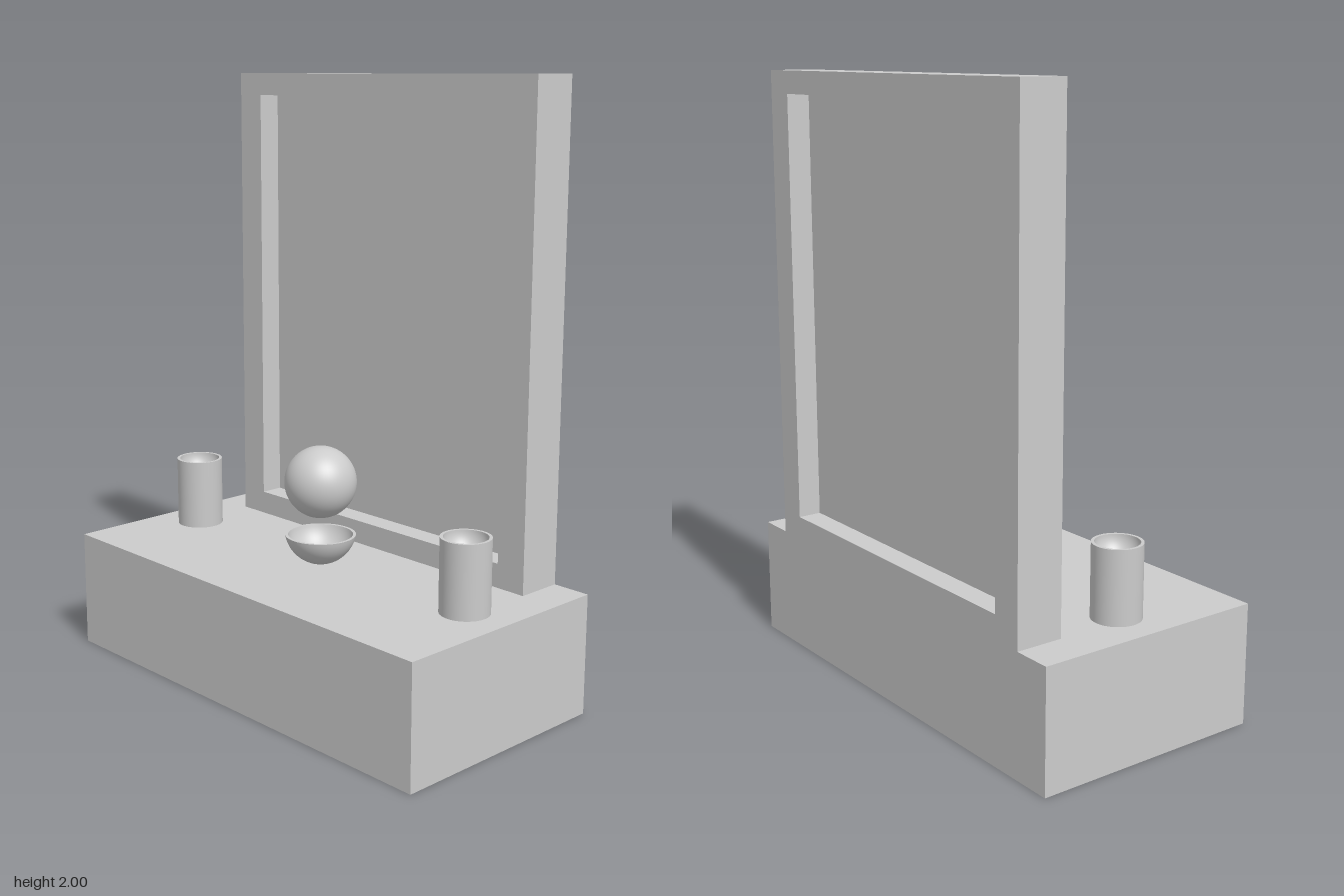
import * as THREE from 'three';

const material = new THREE.MeshStandardMaterial({ color: 0xcccccc, side: THREE.DoubleSide });

function add(parent, name, geometry, x = 0, y = 0, z = 0) {
  const mesh = new THREE.Mesh(geometry, material);
  mesh.name = name;
  mesh.position.set(x, y, z);
  parent.add(mesh);
  return mesh;
}

// Rectangular outline between two corners
function rectangle(Type, x0, y0, x1, y1) {
  return new Type([[x0, y0], [x1, y0], [x1, y1], [x0, y1]].map(([x, y]) => new THREE.Vector2(x, y)));
}

// Points on a circular arc around (0, cy), from angle a to angle b
function arc(r, cy, a, b, n = 20) {
  return Array.from({ length: n + 1 }, (_, i) => {
    const t = a + (b - a) * i / n;
    return new THREE.Vector2(Math.max(0, r * Math.cos(t)), cy + r * Math.sin(t));
  });
}

// Lathe each run of the profile separately so the rims stay sharp
function addLathe(parent, name, runs, x) {
  const part = new THREE.Group();
  part.name = name;
  part.position.set(x, 0.4, 0);
  for (const [runName, points] of Object.entries(runs)) {
    add(part, runName, new THREE.LatheGeometry(points, 48));
  }
  parent.add(part);
}

export function createModel() {
  const model = new THREE.Group();
  model.name = 'pedestalWithPanel';

  // Hollow base: a thin shell without its bottom face
  const shell = new THREE.BoxGeometry(1.6, 0.4, 0.8);
  const index = Array.from(shell.index.array);
  index.splice(18, 6);
  shell.setIndex(index);
  shell.clearGroups();
  add(model, 'base', shell, 0, 0.2, 0);

  // Upright frame with a thin pane halfway through its depth
  const outline = rectangle(THREE.Shape, -0.67, 0.4, 0.67, 2);
  outline.holes.push(rectangle(THREE.Path, -0.565, 0.48, 0.565, 1.925));
  add(model, 'frame', new THREE.ExtrudeGeometry(outline, { depth: 0.16, bevelEnabled: false }), 0, 0, -0.4);
  add(model, 'pane', new THREE.PlaneGeometry(1.13, 1.445), 0, 1.2025, -0.32);

  // Floating ball above its bowl
  add(model, 'ball', new THREE.SphereGeometry(0.12, 48, 32), 0, 0.68, 0);
  const bottom = -Math.PI / 2;
  const outer = arc(0.12, 0.12, bottom, Math.asin(-0.02 / 0.12));
  const inner = arc(0.11, 0.12, Math.asin(-0.02 / 0.11), bottom);
  addLathe(model, 'bowl', {
    bowlOutside: outer,
    bowlRim: [outer[outer.length - 1], inner[0]],
    bowlInside: inner,
  }, 0);

  // Pair of posts with a rounded hollow in the top
  for (const side of [-1, 1]) {
    addLathe(model, side > 0 ? 'leftPost' : 'rightPost', {
      postWall: [new THREE.Vector2(0.08, 0), new THREE.Vector2(0.08, 0.24)],
      postRim: [new THREE.Vector2(0.08, 0.24), new THREE.Vector2(0.07, 0.24)],
      postHollow: arc(0.07, 0.24, 0, bottom),
    }, side * 0.64);
  }

  return model;
}
